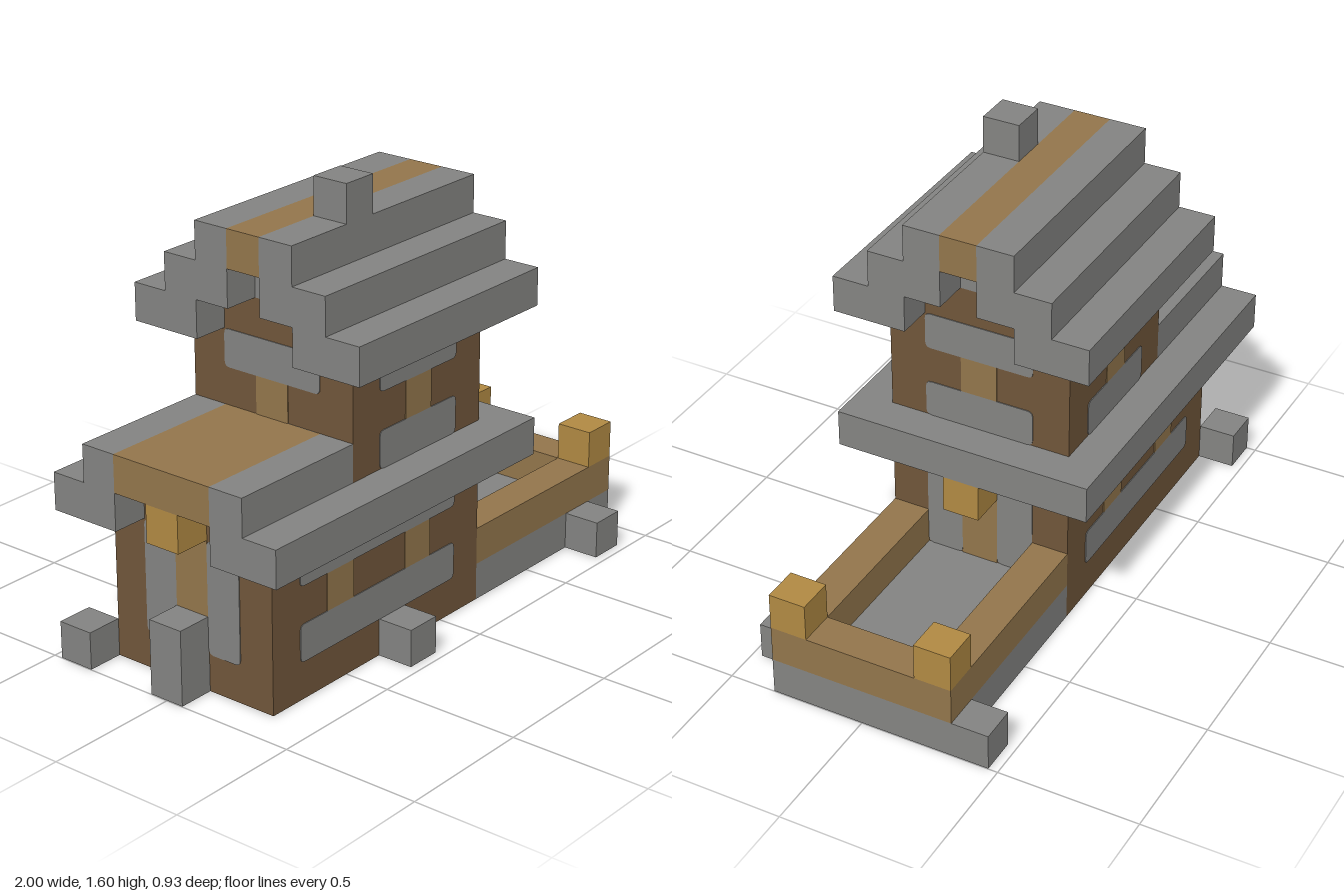
import * as THREE from 'three';

const U = 2 / 15; // size of one block

const mat = (name, color) => {
  const m = new THREE.MeshStandardMaterial({ color });
  m.name = name;
  return m;
};

export function createModel() {
  const root = new THREE.Group();
  root.name = 'house';
  const stone = mat('grey stone', 0x838381);
  const dark = mat('dark timber', 0x70563a);
  const plank = mat('tan plank', 0x92754b);
  const post = mat('golden timber', 0xb08943);

  // Block spanning whole grid cells; all ranges are inclusive
  const block = (name, material, [i0, i1], [j0, j1], [k0, k1]) => {
    const w = i1 - i0 + 1, h = j1 - j0 + 1, d = k1 - k0 + 1;
    const mesh = new THREE.Mesh(new THREE.BoxGeometry(w * U, h * U, d * U), material);
    mesh.position.set((i0 + w / 2 - 7.5) * U, (j0 + h / 2) * U, (k0 + d / 2 - 3.5) * U);
    mesh.name = name;
    root.add(mesh);
  };

  // Thin wall panel with slightly rounded corners
  const panelGeometry = (w, h, r) => {
    const x = w / 2, y = h / 2, s = new THREE.Shape();
    s.moveTo(-x + r, -y);
    s.lineTo(x - r, -y);
    s.quadraticCurveTo(x, -y, x, -y + r);
    s.lineTo(x, y - r);
    s.quadraticCurveTo(x, y, x - r, y);
    s.lineTo(-x + r, y);
    s.quadraticCurveTo(-x, y, -x, y - r);
    s.lineTo(-x, -y + r);
    s.quadraticCurveTo(-x, -y, -x + r, -y);
    return new THREE.ExtrudeGeometry(s, { depth: 0.003, bevelEnabled: false, curveSegments: 3 });
  };
  const panel = (name, material, [a0, a1], [j0, j1], turn, x, z) => {
    const r = material === stone ? 0.02 : 0.002;
    const mesh = new THREE.Mesh(panelGeometry((a1 - a0 + 1) * U, (j1 - j0 + 1) * U, r), material);
    const a = (a0 + a1 + 1) / 2;
    mesh.position.set(x ?? (a - 7.5) * U, ((j0 + j1 + 1) / 2) * U, z ?? (a - 3.5) * U);
    mesh.rotation.y = turn;
    mesh.name = name;
    root.add(mesh);
  };

  // Walls
  block('groundFloor', dark, [1, 8], [0, 3], [1, 5]);
  block('groundFloorGable', dark, [1, 8], [4, 4], [2, 4]);
  block('upperFloor', dark, [4, 8], [5, 7], [1, 5]);
  block('upperGable', dark, [4, 8], [8, 8], [2, 4]);
  block('attic', stone, [4, 8], [9, 9], [3, 3]);

  // Front and back panels
  for (const s of [1, -1]) {
    const turn = s > 0 ? 0 : Math.PI, z = s * 2.5 * U;
    for (const j of [1, 3]) panel('lowerWallBand', stone, [2, 7], [j, j], turn, null, z);
    for (const i of [3, 6]) panel('lowerWindow', plank, [i, i], [2, 2], turn, null, z);
    for (const j of [5, 7]) panel('upperWallBand', stone, [5, 7], [j, j], turn, null, z);
    panel('upperWindow', plank, [6, 6], [6, 6], turn, null, z);
  }

  // Side panels
  for (const s of [1, -1]) {
    const turn = s * Math.PI / 2;
    const low = s > 0 ? 1.5 * U : -6.5 * U, high = s > 0 ? 1.5 * U : -3.5 * U;
    for (const k of [2, 4]) panel('doorFrame', stone, [k, k], [1, 3], turn, low, null);
    panel('door', plank, [3, 3], [1, 3], turn, low, null);
    for (const j of [5, 7]) panel('sideWallBand', stone, [2, 4], [j, j], turn, high, null);
    panel('sideWindow', plank, [3, 3], [6, 6], turn, high, null);
  }

  // Stone floor seen from underneath
  const floor = new THREE.Mesh(new THREE.BoxGeometry(6 * U, 0.003, 3 * U), stone);
  floor.position.set(-2.5 * U, 0, 0);
  floor.name = 'floor';
  root.add(floor);

  // Stepped roofs, mirrored front to back
  for (const [k0, k1] of [[0, 1], [5, 6]]) {
    block('lowerEave', stone, [0, 9], [4, 4], [k0, k1]);
    block('upperEave', stone, [3, 9], [8, 8], [k0, k1]);
  }
  for (const k of [1, 5]) block('lowerRoofStep', stone, [0, 3], [5, 5], [k, k]);
  for (const [k0, k1] of [[1, 2], [4, 5]]) block('upperRoofStep', stone, [3, 9], [9, 9], [k0, k1]);
  for (const k of [2, 4]) block('roofCap', stone, [3, 9], [10, 10], [k, k]);
  block('lowerEaveEnd', stone, [9, 9], [4, 4], [2, 4]);
  block('lowerRoofTop', plank, [0, 3], [5, 5], [2, 4]);
  block('ridge', plank, [3, 9], [10, 10], [3, 3]);
  block('chimney', stone, [5, 5], [11, 11], [4, 4]);

  // Brackets over the two doors
  block('rightBracket', post, [9, 9], [3, 3], [3, 3]);
  block('leftBracket', post, [0, 0], [4, 4], [3, 3]);

  // Terrace with rails and corner posts
  block('terrace', stone, [9, 14], [0, 0], [1, 5]);
  for (const k of [1, 5]) {
    block('terraceRail', plank, [9, 14], [1, 1], [k, k]);
    block('cornerPost', post, [14, 14], [2, 2], [k, k]);
  }
  block('endRail', plank, [14, 14], [1, 1], [2, 4]);

  // Loose stones around the base
  block('frontStone', stone, [5, 5], [0, 0], [6, 6]);
  block('terraceFrontStone', stone, [13, 13], [0, 0], [6, 6]);
  block('terraceBackStone', stone, [14, 14], [0, 0], [0, 0]);
  block('backCornerStone', stone, [0, 0], [0, 0], [0, 0]);
  block('doorStone', stone, [0, 0], [0, 1], [3, 3]);

  return root;
}
